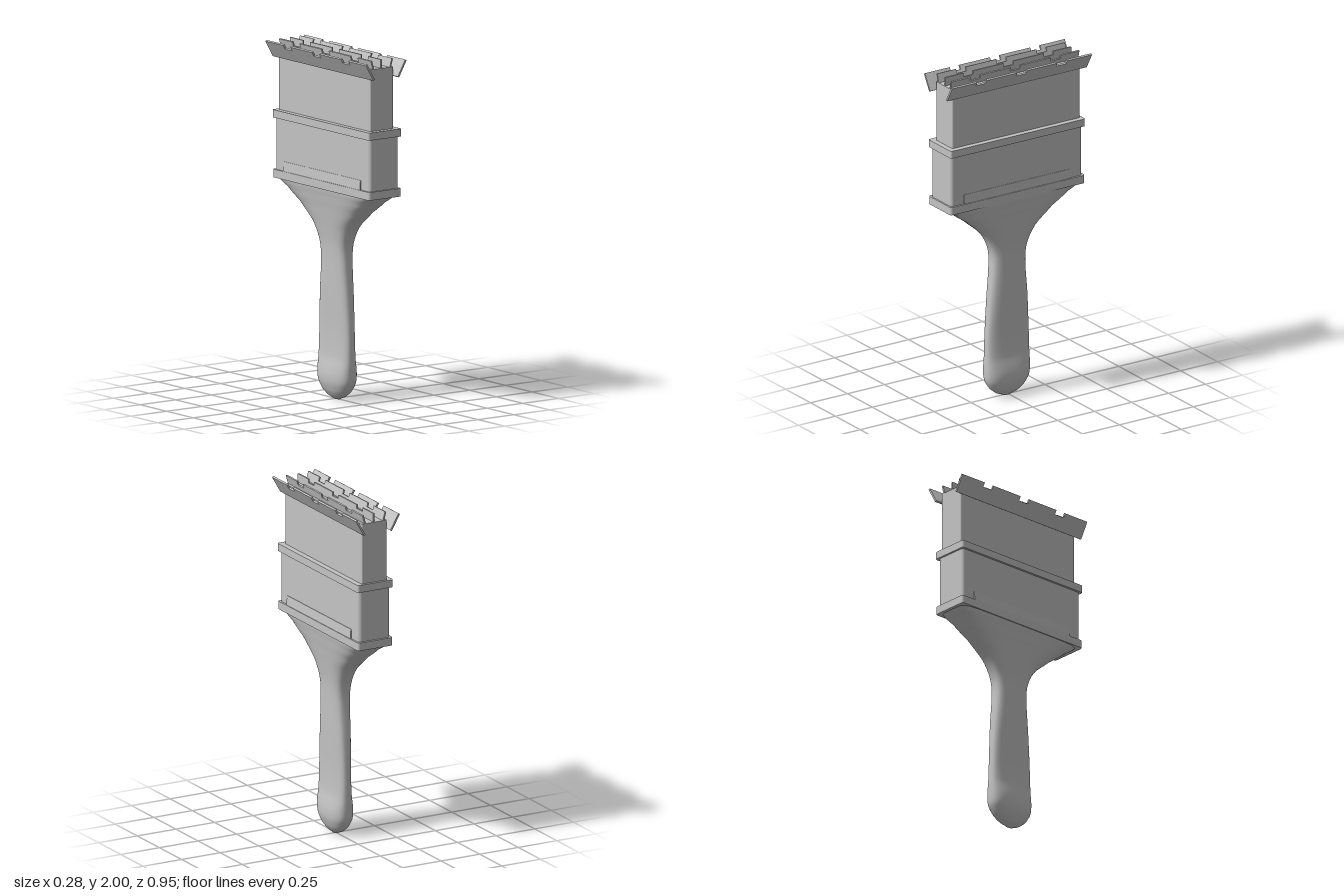
import * as THREE from 'three';

const grey = new THREE.MeshStandardMaterial({ color: 0xc4c4c4 });
grey.name = 'plain grey';

function add(group, name, geometry) {
  const mesh = new THREE.Mesh(geometry, grey);
  mesh.name = name;
  group.add(mesh);
  return mesh;
}

// Block with rounded vertical corners, between heights y0 and y1
function block(hx, z0, z1, y0, y1, r) {
  const s = new THREE.Shape();
  // shape y becomes -z once the extrusion is stood upright
  const a = -z1, b = -z0;
  s.moveTo(-hx + r, a);
  s.lineTo(hx - r, a);
  s.absarc(hx - r, a + r, r, -Math.PI / 2, 0);
  s.lineTo(hx, b - r);
  s.absarc(hx - r, b - r, r, 0, Math.PI / 2);
  s.lineTo(-hx + r, b);
  s.absarc(-hx + r, b - r, r, Math.PI / 2, Math.PI);
  s.lineTo(-hx, a + r);
  s.absarc(-hx + r, a + r, r, Math.PI, Math.PI * 1.5);
  const g = new THREE.ExtrudeGeometry(s, { depth: y1 - y0, bevelEnabled: false, curveSegments: 5 });
  return g.rotateX(-Math.PI / 2).translate(0, y0, 0);
}

// Handle lofted from superellipse sections: [y, half depth x, half width z, centre z, exponent]
function handleGeometry() {
  const keys = [
    [0.0, 0.012, 0.025, 0.01, 2.2], [0.02, 0.034, 0.07, 0.01, 2.3],
    [0.05, 0.052, 0.108, 0.01, 2.4], [0.1, 0.067, 0.137, 0.01, 2.6],
    [0.16, 0.067, 0.144, 0.01, 2.8], [0.25, 0.051, 0.143, 0.01, 3],
    [0.4, 0.047, 0.139, 0.01, 3], [0.6, 0.052, 0.127, 0.008, 3],
    [0.8, 0.055, 0.111, 0.008, 3], [0.9, 0.06, 0.121, 0.006, 3],
    [1.0, 0.073, 0.175, 0.005, 3], [1.1, 0.088, 0.287, 0.005, 3.6],
    [1.17, 0.1, 0.38, 0.005, 5], [1.215, 0.108, 0.437, 0.005, 8],
  ];
  const radial = 48, perKey = 4, pos = [], idx = [];
  const cr = (a, b, c, d, t) => 0.5 * (2 * b + (c - a) * t +
    (2 * a - 5 * b + 4 * c - d) * t * t + (3 * b - a - 3 * c + d) * t * t * t);
  const last = keys.length - 1, rows = last * perKey;
  const at = (i) => keys[Math.max(0, Math.min(last, i))];
  for (let i = 0; i <= rows; i++) {
    const k = Math.min(last - 1, Math.floor(i / perKey)), t = i / perKey - k;
    const [y, hx, hz, cz, n] = keys[0].map((_, c) => c === 0 || c === 4
      ? THREE.MathUtils.lerp(at(k)[c], at(k + 1)[c], t)
      : cr(at(k - 1)[c], at(k)[c], at(k + 1)[c], at(k + 2)[c], t));
    for (let j = 0; j < radial; j++) {
      const a = (j / radial) * Math.PI * 2, c = Math.cos(a), s = Math.sin(a);
      pos.push(hx * Math.sign(c) * Math.abs(c) ** (2 / n), y,
        cz + hz * Math.sign(s) * Math.abs(s) ** (2 / n));
    }
  }
  for (let i = 0; i < rows; i++) {
    for (let j = 0; j < radial; j++) {
      const a = i * radial + j, b = i * radial + (j + 1) % radial;
      idx.push(a, a + radial, b, b, a + radial, b + radial);
    }
  }
  // Close the butt of the handle
  const centre = pos.length / 3;
  pos.push(0, 0, 0.01);
  for (let j = 0; j < radial; j++) idx.push(centre, j, (j + 1) % radial);
  const g = new THREE.BufferGeometry();
  g.setAttribute('position', new THREE.Float32BufferAttribute(pos, 3));
  g.setIndex(idx);
  g.computeVertexNormals();
  return g;
}

// Thin bristle sheet with a notched top edge, long side along z
function sheet(halfLength, height, notch, thickness) {
  const s = new THREE.Shape();
  s.moveTo(-halfLength, 0);
  s.lineTo(halfLength, 0);
  s.lineTo(halfLength, height);
  for (const c of [0.272, 0, -0.272]) {
    s.lineTo(c + 0.033, height);
    s.lineTo(c + 0.033, height - notch);
    s.lineTo(c - 0.033, height - notch);
    s.lineTo(c - 0.033, height);
  }
  s.lineTo(-halfLength, height);
  const g = new THREE.ExtrudeGeometry(s, { depth: thickness, bevelEnabled: false });
  return g.translate(0, 0, -thickness / 2).rotateY(-Math.PI / 2);
}

export function createModel() {
  const brush = new THREE.Group();
  brush.name = 'paintBrush';

  add(brush, 'handle', handleGeometry());

  // Metal ferrule with its two bands and pressed ridges
  add(brush, 'lowerBand', block(0.113, -0.447, 0.463, 1.21, 1.257, 0.015));
  add(brush, 'ferrule', block(0.102, -0.435, 0.453, 1.25, 1.56, 0.02));
  add(brush, 'upperBand', block(0.115, -0.447, 0.463, 1.553, 1.597, 0.012));
  for (const side of [-1, 1]) {
    const ridge = add(brush, 'ferruleRidge', new THREE.BoxGeometry(0.008, 0.055, 0.72));
    ridge.position.set(side * 0.103, 1.284, 0.01);
    ridge.rotation.z = side * 0.08;
  }

  // Solid bristle mass
  add(brush, 'bristleBlock', block(0.082, -0.432, 0.432, 1.59, 1.95, 0.008));

  // Splayed bristle sheets along the tip
  add(brush, 'centreSheet', sheet(0.425, 0.055, 0.022, 0.009)).position.y = 1.945;
  for (const side of [-1, 1]) {
    const inner = add(brush, 'innerSheet', sheet(0.432, 0.062, 0.024, 0.009));
    inner.position.set(side * 0.056, 1.94, 0);
    inner.rotation.z = -side * 0.28;
    const outer = add(brush, 'outerSheet', sheet(0.473, 0.106, 0.026, 0.011));
    outer.position.set(side * 0.085, 1.897, 0);
    outer.rotation.z = -side * 0.52;
  }
  return brush;
}
